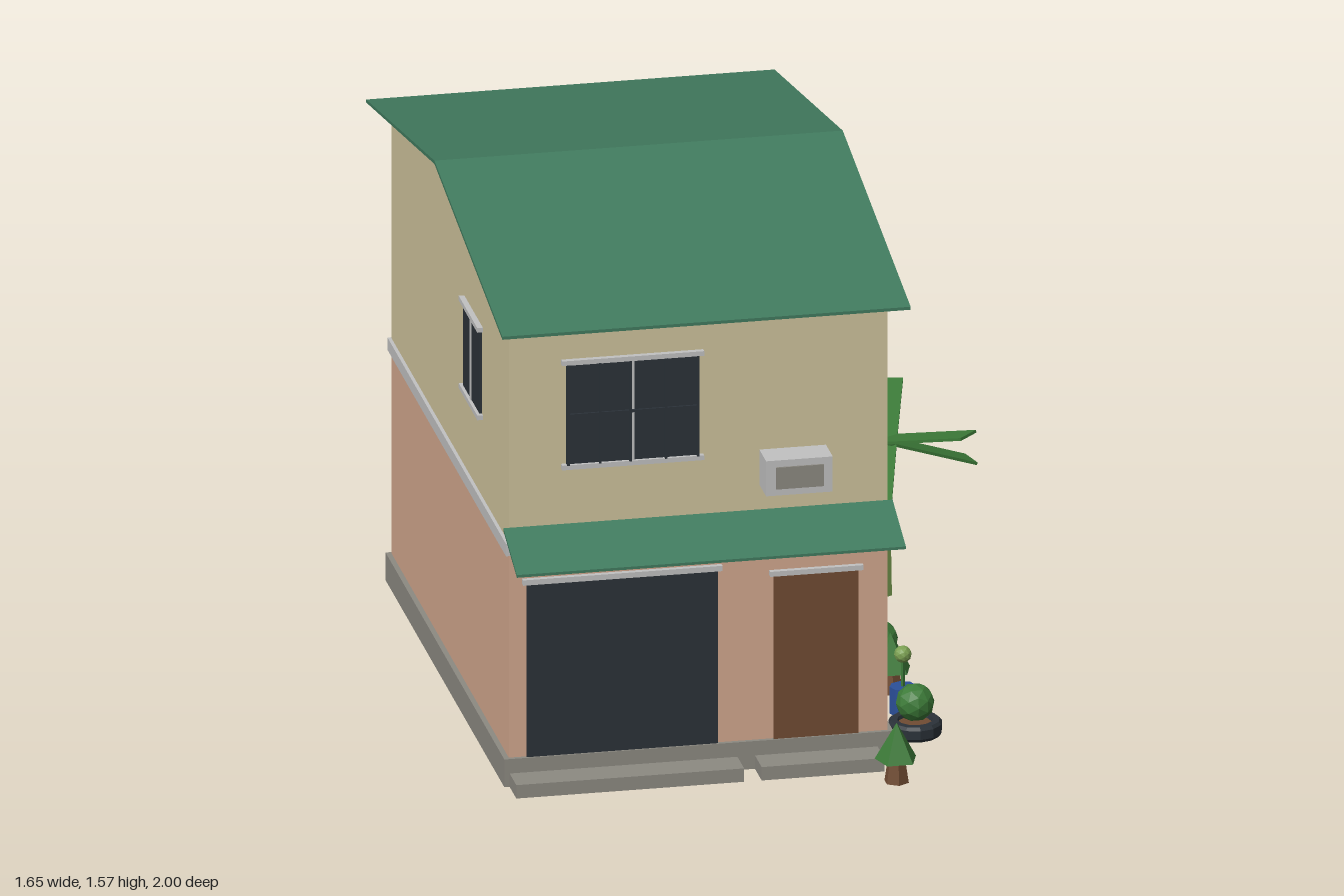
import * as THREE from 'three';

const mat = (name, color) => {
  const m = new THREE.MeshStandardMaterial({ color });
  m.name = name;
  return m;
};

export function createModel() {
  const sand = mat('sand wall', 0xcfc39c);
  const salmon = mat('salmon wall', 0xd3a88e);
  const roofGreen = mat('roof green', 0x417b5f);
  const concrete = mat('concrete', 0x8d8a82);
  const trim = mat('light trim', 0xc2c2c2);
  const dark = mat('dark glass', 0x2b3239);
  const brown = mat('brown wood', 0x714c33);
  const blue = mat('blue pot', 0x2b509a);
  const leaf = mat('leaf green', 0x3c7a38);
  const stemGreen = mat('stem green', 0x7ba052);

  const model = new THREE.Group();
  model.name = 'house';

  const add = (parent, name, geo, material, x = 0, y = 0, z = 0) => {
    const mesh = new THREE.Mesh(geo, material);
    mesh.name = name;
    mesh.position.set(x, y, z);
    parent.add(mesh);
    return mesh;
  };
  const group = (name, x, y, z, parent = model) => {
    const g = new THREE.Group();
    g.name = name;
    g.position.set(x, y, z);
    parent.add(g);
    return g;
  };
  // Box given by its limits on each axis
  const box = (parent, name, material, x0, x1, y0, y1, z0, z1) =>
    add(parent, name, new THREE.BoxGeometry(x1 - x0, y1 - y0, z1 - z0), material,
      (x0 + x1) / 2, (y0 + y1) / 2, (z0 + z1) / 2);
  // One normal per face
  const flat = (geo) => {
    const g = geo.index ? geo.toNonIndexed() : geo;
    g.computeVertexNormals();
    return g;
  };
  // Side profile of [z, y] points, extruded along x
  const profile = (name, material, points, x0, x1) => {
    const shape = new THREE.Shape(points.map(([z, y]) => new THREE.Vector2(z, y)));
    const geo = new THREE.ExtrudeGeometry(shape, { depth: x1 - x0, bevelEnabled: false });
    geo.rotateY(-Math.PI / 2);
    return add(model, name, geo, material, x1);
  };

  // Body
  box(model, 'foundation', concrete, -0.8, 0.31, 0, 0.083, -0.877, 0.772);
  box(model, 'lowerWalls', salmon, -0.785, 0.295, 0.04, 0.7, -0.865, 0.76);
  box(model, 'floorBand', trim, -0.795, 0.305, 0.69, 0.727, -0.875, 0.77);
  profile('upperWalls', sand,
    [[-0.865, 0.71], [0.76, 0.71], [0.76, 1.404], [-0.053, 1.557], [-0.865, 1.404]], -0.785, 0.295);

  // Roof and awning
  profile('roof', roofGreen,
    [[0.89, 1.386], [0.89, 1.395], [-0.053, 1.568], [-1, 1.395], [-1, 1.386], [-0.053, 1.558]], -0.83, 0.335);
  profile('awning', roofGreen,
    [[0.945, 0.692], [0.945, 0.7], [0.76, 0.771], [0.76, 0.762]], -0.8, 0.31);

  // Front steps
  box(model, 'garageStep', concrete, -0.785, -0.135, 0, 0.04, 0.77, 0.865);
  box(model, 'doorStep', concrete, -0.085, 0.265, 0, 0.04, 0.77, 0.865);

  // Doors with lintels
  box(model, 'garageDoor', dark, -0.735, -0.19, 0.083, 0.6, 0.758, 0.767);
  box(model, 'garageLintel', trim, -0.747, -0.178, 0.6, 0.616, 0.755, 0.775);
  box(model, 'frontDoor', brown, -0.03, 0.212, 0.083, 0.572, 0.758, 0.767);
  box(model, 'doorLintel', trim, -0.042, 0.224, 0.572, 0.587, 0.755, 0.775);

  // Windows: built facing +z, then turned to their wall
  const makeWindow = (name, x, y, z, w, h, turn) => {
    const g = group(name, x, y, z);
    g.rotation.y = turn;
    box(g, 'pane', dark, -w / 2, w / 2, -h / 2, h / 2, -0.002, 0.007);
    box(g, 'mullion', trim, -0.005, 0.005, -h / 2, h / 2, 0, 0.01);
    for (const s of [-1, 1])
      add(g, s < 0 ? 'sill' : 'lintel', new THREE.BoxGeometry(w + 0.028, 0.014, 0.02), trim, 0, s * (h / 2 + 0.006), 0.006);
    return g;
  };
  const front = makeWindow('frontWindow', -0.433, 1.1, 0.76, 0.377, 0.3, 0);
  makeWindow('upperBackWindow', -0.245, 1.1, -0.865, 0.315, 0.3, Math.PI);
  makeWindow('lowerBackWindow', -0.245, 0.398, -0.865, 0.315, 0.3, Math.PI);
  makeWindow('sideWindow', -0.785, 1.097, 0.272, 0.23, 0.25, -Math.PI / 2);

  // Security grille on the front window
  for (const x of [-0.185, -0.094, -0.008, 0.094, 0.185])
    add(front, 'grilleBar', new THREE.BoxGeometry(0.007, 0.3, 0.006), dark, x, 0, 0.015);
  add(front, 'grilleRail', new THREE.BoxGeometry(0.377, 0.007, 0.006), dark, 0, 0, 0.015);

  // Air conditioner
  box(model, 'airConditioner', trim, -0.07, 0.12, 0.845, 0.95, 0.75, 0.854);
  box(model, 'airConditionerGrille', concrete, -0.042, 0.094, 0.865, 0.93, 0.85, 0.859);

  // Palm with leaves alternately drooping and rising
  const palm = group('palm', 0.54, 0, -0.49);
  add(palm, 'palmTrunk', flat(new THREE.CylinderGeometry(0.018, 0.026, 0.46, 6)), stemGreen, 0, 0.23, 0);
  for (let i = 0; i < 6; i++) {
    const geo = new THREE.BoxGeometry(0.295, 0.008, 0.078);
    geo.translate(0.1475, 0, 0);
    geo.rotateZ(i % 2 ? 0.25 : -0.37);
    geo.rotateY(THREE.MathUtils.degToRad(15 + 60 * i));
    add(palm, 'palmLeaf', geo, leaf, 0, 0.463, 0);
  }

  // Small plants along the side wall
  const tyrePlant = (x, z) => {
    const g = group('tyrePlanter', x, 0, z);
    const ring = [[0.045, 0], [0.07, 0], [0.077, 0.01], [0.077, 0.036], [0.07, 0.045], [0.05, 0.045], [0.045, 0.03], [0.045, 0]];
    add(g, 'tyre', flat(new THREE.LatheGeometry(ring.map(([r, y]) => new THREE.Vector2(r, y)), 12)), dark);
    add(g, 'soil', flat(new THREE.CylinderGeometry(0.05, 0.05, 0.03, 12)), brown, 0, 0.02, 0);
    add(g, 'bush', flat(new THREE.IcosahedronGeometry(0.055, 1)), leaf, 0, 0.095, 0);
  };
  const potPlant = (x, z, material) => {
    const g = group('pottedPlant', x, 0, z);
    add(g, 'pot', flat(new THREE.CylinderGeometry(0.038, 0.038, 0.08, 8)), material, 0, 0.04, 0);
    add(g, 'stem', flat(new THREE.CylinderGeometry(0.006, 0.006, 0.1, 5)), leaf, 0, 0.125, 0);
    add(g, 'crown', flat(new THREE.IcosahedronGeometry(0.025, 1)), stemGreen, 0, 0.175, 0);
  };
  const coneTree = (x, z) => {
    const g = group('coneTree', x, 0, z);
    add(g, 'trunk', flat(new THREE.CylinderGeometry(0.025, 0.036, 0.07, 6)), brown, 0, 0.035, 0);
    add(g, 'foliage', flat(new THREE.ConeGeometry(0.062, 0.11, 5)), leaf, 0, 0.121, 0).rotation.y = Math.PI;
  };
  tyrePlant(0.408, 0.595);
  potPlant(0.408, 0.425, blue);
  coneTree(0.408, 0.258);
  tyrePlant(0.408, 0.09);
  potPlant(0.408, -0.078, brown);
  coneTree(0.283, 0.948);

  return model;
}
